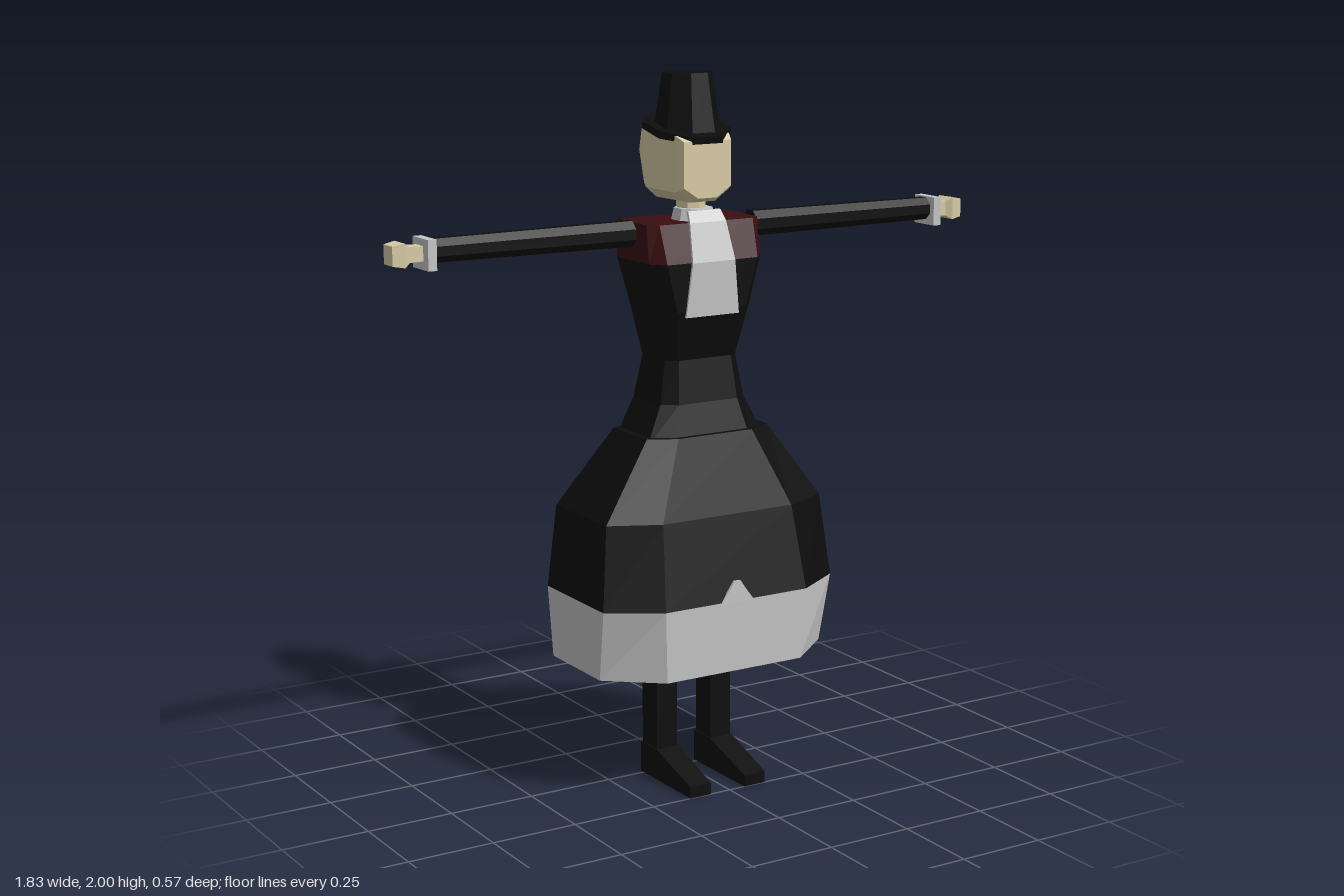
import * as THREE from 'three';

const mat = (name, color, side = THREE.FrontSide) => {
  const m = new THREE.MeshStandardMaterial({ color, side, flatShading: true });
  m.name = name;
  return m;
};

// Joins cross-sections (arrays of [x, y, z], counter-clockwise seen from the last one) with flat faces
function loft(rings, capStart = true, capEnd = true) {
  const pos = [];
  const tri = (a, b, c) => pos.push(...a, ...b, ...c);
  const n = rings[0].length;
  for (let r = 0; r + 1 < rings.length; r++) {
    const a = rings[r], b = rings[r + 1];
    for (let i = 0; i < n; i++) {
      const j = (i + 1) % n;
      tri(a[i], a[j], b[j]);
      tri(a[i], b[j], b[i]);
    }
  }
  const first = rings[0], last = rings[rings.length - 1];
  for (let i = 1; i + 1 < n; i++) {
    if (capStart) tri(first[0], first[i + 1], first[i]);
    if (capEnd) tri(last[0], last[i], last[i + 1]);
  }
  const g = new THREE.BufferGeometry();
  g.setAttribute('position', new THREE.Float32BufferAttribute(pos, 3));
  g.computeVertexNormals();
  return g;
}

// Eight-sided horizontal section: half width, front/back z, corner z, front/back half widths
const ring = ([y, hx, zf, zb, cf, cb, fw, bw, yBack = y]) => [
  [fw, y, zf], [hx, y, cf], [hx, y, cb], [bw, yBack, zb],
  [-bw, yBack, zb], [-hx, y, cb], [-hx, y, cf], [-fw, y, zf],
];

// Upright rectangular section for boots, looking along z
const rect = (z, w, y0, y1) => [[-w, y0, z], [w, y0, z], [w, y1, z], [-w, y1, z]];

// Upright chamfered section for the head
const headRing = ([z, w, y0, y1, c, dz = 0]) => [
  [-c, y0, z + dz], [c, y0, z + dz], [w, y0 + 0.03, z + dz], [w, y1, z],
  [-w, y1, z], [-w, y0 + 0.03, z + dz],
];

export function createModel() {
  const black = mat('black cloth', 0x0d0d0d, THREE.DoubleSide);
  const red = mat('dark red cloth', 0x390e0f);
  const grey = mat('pale grey linen', 0xc6c6c6, THREE.DoubleSide);
  const skin = mat('skin', 0xd8cca6);

  const model = new THREE.Group();
  model.name = 'figure';
  const add = (name, geometry, material, parent = model) => {
    const m = new THREE.Mesh(geometry, material);
    m.name = name;
    parent.add(m);
    return m;
  };

  // Skirt with pale hem, open underneath
  const hemTop = [0.565, 0.375, 0.285, -0.285, 0.195, -0.12, 0.23, 0.13, 0.6];
  add('hem', loft([
    [0.36, 0.365, 0.275, -0.255, 0.155, -0.11, 0.22, 0.12], hemTop,
  ].map(ring), false, false), grey);
  add('skirt', loft([
    hemTop,
    [0.8, 0.35, 0.237, -0.24, 0.17, -0.11, 0.21, 0.13, 0.82],
    [1.015, 0.197, 0.17, -0.092, 0.13, -0.05, 0.12, 0.08],
  ].map(ring), false, true), black);

  // Small peak of the hem at the front
  const peak = new THREE.Shape();
  peak.moveTo(-0.055, 0.56);
  [[0.055, 0.56], [0.025, 0.6], [0.01, 0.622], [-0.01, 0.622], [-0.025, 0.6]]
    .forEach(([x, y]) => peak.lineTo(x, y));
  add('hemPeak', new THREE.ExtrudeGeometry(peak, { depth: 0.008, bevelEnabled: false }), grey)
    .position.z = 0.279;

  // Bodice and red shoulder yoke
  const chest = [1.495, 0.18, 0.155, -0.06, 0.115, -0.055, 0.145, 0.165];
  add('bodice', loft([
    [0.99, 0.19, 0.16, -0.085, 0.12, -0.05, 0.12, 0.09],
    [1.1, 0.135, 0.132, -0.06, 0.1, -0.045, 0.095, 0.1],
    [1.22, 0.115, 0.115, -0.035, 0.09, -0.03, 0.085, 0.095],
    [1.36, 0.147, 0.15, -0.045, 0.11, -0.04, 0.11, 0.13], chest,
  ].map(ring), true, false), black);
  add('yoke', loft([
    chest, [1.6, 0.178, 0.122, -0.06, 0.1, -0.055, 0.15, 0.165],
  ].map(ring), false, true), red);

  // Neckcloth hanging over the chest, as a thin folded plate
  add('neckcloth', loft([
    [1.345, 0.085, 0.155], [1.495, 0.068, 0.162], [1.6, 0.058, 0.13], [1.63, 0.052, 0.11],
  ].map(([y, w, z]) => [[w, y, z], [w, y, z - 0.009], [-w, y, z - 0.009], [-w, y, z]])), grey);

  // Collar and neck
  const collar = add('collar', new THREE.CylinderGeometry(0.054, 0.062, 0.035, 8), grey);
  collar.position.set(0, 1.615, 0.052);
  collar.rotation.y = Math.PI / 8;
  add('neck', new THREE.CylinderGeometry(0.042, 0.042, 0.07, 8), skin).position.set(0, 1.65, 0.04);

  // Head, narrowing into the knot at the back
  add('head', loft([
    [-0.153, 0.05, 1.685, 1.775, 0.03, 0.02],
    [-0.1, 0.072, 1.66, 1.85, 0.045, 0.01],
    [-0.06, 0.085, 1.652, 1.85, 0.05],
    [0.1, 0.085, 1.652, 1.835, 0.04],
    [0.127, 0.075, 1.665, 1.82, 0.03],
  ].map(headRing)), skin);

  // Tilted brim and upright crown
  const hat = new THREE.Group();
  hat.name = 'hat';
  model.add(hat);
  const brim = add('brim', new THREE.CylinderGeometry(0.124, 0.124, 0.02, 8).rotateY(Math.PI / 8), black, hat);
  brim.position.set(0, 1.847, 0.018);
  brim.rotation.x = 0.22;
  add('crown', new THREE.CylinderGeometry(0.069, 0.094, 0.16, 8).rotateY(Math.PI / 8), black, hat)
    .position.set(0, 1.92, 0.02);

  for (const [side, s] of [['left', 1], ['right', -1]]) {
    // Arm stretched sideways: sleeve, cuff and fist
    const arm = new THREE.Group();
    arm.name = side + 'Arm';
    arm.position.set(0, 1.573, 0.04);
    model.add(arm);
    const sleeve = new THREE.CylinderGeometry(0.034, 0.038, 0.61, 8).rotateY(Math.PI / 8);
    sleeve.rotateZ(-s * Math.PI / 2);
    add('sleeve', sleeve, black, arm).position.x = s * 0.5;
    add('cuff', new THREE.BoxGeometry(0.025, 0.082, 0.092), grey, arm)
      .position.set(s * 0.813, -0.006, 0.003);
    const hand = new THREE.CylinderGeometry(1, 1, 1, 4, 3).rotateY(Math.PI / 4);
    const p = hand.attributes.position;
    const stations = [[0.82, 0.02], [0.865, 0.021], [0.882, 0.032], [0.916, 0.026]];
    for (let i = 0; i < p.count; i++) {
      const [x, r] = stations[Math.round((p.getY(i) + 0.5) * 3)];
      p.setXYZ(i, p.getX(i) * r * Math.SQRT2, x, p.getZ(i) * r * Math.SQRT2);
    }
    hand.rotateZ(-s * Math.PI / 2);
    hand.computeVertexNormals();
    add('hand', hand, skin, arm).position.y = -0.004;

    // Leg and pointed boot
    const leg = new THREE.Group();
    leg.name = side + 'Leg';
    leg.position.x = s * 0.09 - 0.006;
    model.add(leg);
    add('stocking', new THREE.BoxGeometry(0.066, 0.7, 0.08), black, leg).position.set(0, 0.4, 0.028);
    add('boot', loft([
      rect(-0.015, 0.037, 0, 0.09), rect(0.07, 0.037, 0, 0.09), rect(0.25, 0.034, 0, 0.033),
    ]), black, leg);
  }
  return model;
}
